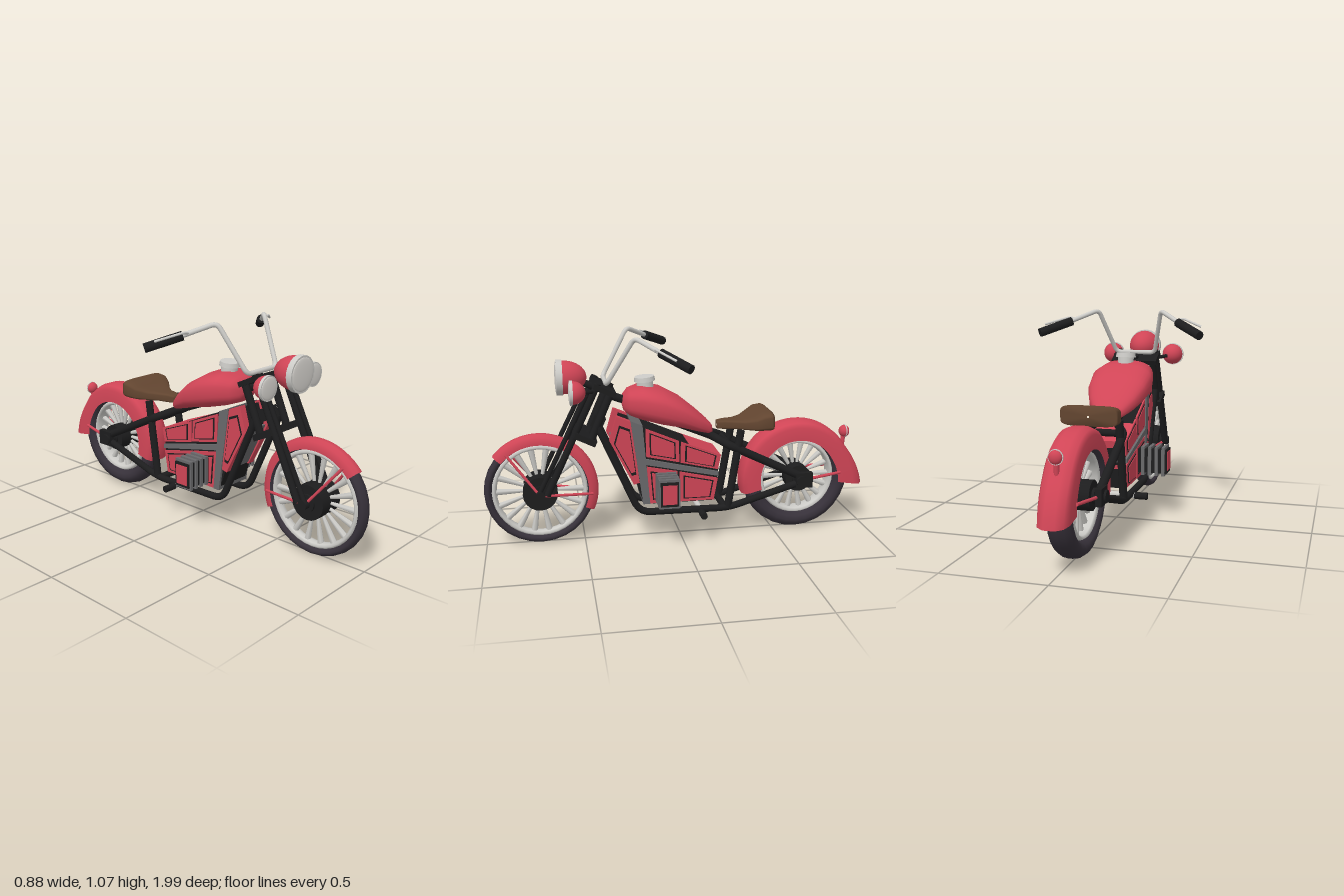
import * as THREE from 'three';

const mat = (name, color, side = THREE.FrontSide) => {
  const m = new THREE.MeshStandardMaterial({ color, side });
  m.name = name;
  return m;
};
const V = (x, y, z) => new THREE.Vector3(x, y, z);

export function createModel() {
  const root = new THREE.Group();
  root.name = 'motorcycle';
  const red = mat('red paint', 0xd04556, THREE.DoubleSide);
  const black = mat('black metal', 0x1d1d1e);
  const rubber = mat('tyre rubber', 0x37313a);
  const silver = mat('silver metal', 0xcdccc8);
  const grey = mat('grey metal', 0x69696b);
  const brown = mat('brown leather', 0x624530);
  const lens = mat('lamp glass', 0xd6d3ce);

  const add = (name, geo, material, parent = root) => {
    const m = new THREE.Mesh(geo, material);
    m.name = name;
    parent.add(m);
    return m;
  };
  const box = (name, w, h, d, x, y, z, material, tilt = 0) => {
    const m = add(name, new THREE.BoxGeometry(w, h, d), material);
    m.position.set(x, y, z);
    m.rotation.x = tilt;
    return m;
  };
  // Straight round bar between two points
  const rod = (name, a, b, r, material, parent = root, r2 = r, sides = 10) => {
    const m = add(name, new THREE.CylinderGeometry(r2, r, a.distanceTo(b), sides), material, parent);
    m.position.copy(a).lerp(b, 0.5);
    m.quaternion.setFromUnitVectors(V(0, 1, 0), b.clone().sub(a).normalize());
    return m;
  };
  // Bent tube with softly rounded corners
  const bentTube = (name, pts, r, material, bend = 0.04) => {
    const path = new THREE.CurvePath();
    let last = pts[0];
    for (let i = 1; i < pts.length - 1; i++) {
      const p = pts[i];
      const a = p.clone().add(pts[i - 1].clone().sub(p).setLength(bend));
      const b = p.clone().add(pts[i + 1].clone().sub(p).setLength(bend));
      path.add(new THREE.LineCurve3(last, a));
      path.add(new THREE.QuadraticBezierCurve3(a, p, b));
      last = b;
    }
    path.add(new THREE.LineCurve3(last, pts[pts.length - 1]));
    return add(name, new THREE.TubeGeometry(path, 56, r, 10), material);
  };
  // Flat plate drawn in (z, y) and centred on x
  const plate = (name, pts, x, thick, material) => {
    const s = new THREE.Shape(pts.map(p => new THREE.Vector2(p[0], p[1])));
    const g = new THREE.ExtrudeGeometry(s, { depth: thick, bevelEnabled: false });
    g.translate(0, 0, -thick / 2).rotateY(-Math.PI / 2);
    const m = add(name, g, material);
    m.position.x = x;
    return m;
  };
  const shrink = (pts, k) => {
    const c = [0, 1].map(i => pts.reduce((s, p) => s + p[i], 0) / pts.length);
    return pts.map(p => p.map((v, i) => c[i] + (v - c[i]) * k));
  };
  // Rounded body lofted front to back through sections of z, half width, top, bottom
  const loft = (name, sections, power, material, N = 32) => {
    const pos = [], idx = [];
    const bulge = v => Math.sign(v) * Math.abs(v) ** power;
    sections.forEach(([z, w, t, b], i) => {
      for (let j = 0; j < N; j++) {
        const a = j / N * Math.PI * 2;
        pos.push(bulge(Math.cos(a)) * w, (t + b) / 2 + bulge(Math.sin(a)) * (t - b) / 2, z);
        if (i) {
          const k = (j + 1) % N, p = (i - 1) * N, q = i * N;
          idx.push(p + j, q + j, p + k, p + k, q + j, q + k);
        }
      }
    });
    const g = new THREE.BufferGeometry();
    g.setAttribute('position', new THREE.Float32BufferAttribute(pos, 3));
    g.setIndex(idx);
    g.computeVertexNormals();
    return add(name, g, material);
  };
  // Ring revolved about the axle, from (radius, x) points
  const ring = (pts, segs, start = 0, length = Math.PI * 2) =>
    new THREE.LatheGeometry(pts.map(p => new THREE.Vector2(p[0], p[1])), segs, start, length).rotateZ(Math.PI / 2);
  const rad = THREE.MathUtils.degToRad;

  // Wheels
  const wheel = (name, z, y, R, rimR, hw, hubR, hubHw, spokes) => {
    const g = new THREE.Group();
    g.name = name;
    g.position.set(0, y, z);
    root.add(g);
    const loop = (c, a, b, n) => Array.from({ length: n + 1 }, (_, i) => {
      const t = i / n * Math.PI * 2;
      return [c + a * Math.cos(t), b * Math.sin(t)];
    });
    add('tyre', ring(loop((R + rimR) / 2, (R - rimR) / 2, hw, 12), 28), rubber, g);
    add('rim', ring(loop(rimR - 0.008, 0.014, hw * 0.8, 8), 36), silver, g);
    rod('hub', V(-hubHw, 0, 0), V(hubHw, 0, 0), hubR, black, g, hubR, 20);
    rod('hubCap', V(-hubHw - 0.012, 0, 0), V(hubHw + 0.012, 0, 0), hubR * 0.5, black, g, hubR * 0.5, 16);
    for (let i = 0; i < spokes; i++) {
      const a = i / spokes * Math.PI * 2, d = V(0, Math.sin(a), Math.cos(a));
      rod('spoke', d.clone().multiplyScalar(hubR * 0.8), d.clone().multiplyScalar(rimR - 0.012), 0.008, silver, g, 0.017, 6);
    }
  };
  wheel('frontWheel', 0.72, 0.288, 0.28, 0.238, 0.035, 0.087, 0.07, 18);
  wheel('rearWheel', -0.625, 0.295, 0.287, 0.2, 0.06, 0.07, 0.075, 18);

  // Fenders
  const archProfile = (rIn, rOut, hw) => [[rIn, -hw], [rOut - 0.035, -hw], [rOut - 0.012, -hw * 0.8],
    [rOut, -hw * 0.35], [rOut, hw * 0.35], [rOut - 0.012, hw * 0.8], [rOut - 0.035, hw], [rIn, hw]];
  add('frontFender', ring(archProfile(0.245, 0.296, 0.038), 28, rad(40), rad(163)), red).position.set(0, 0.288, 0.72);
  const rearFender = ring(archProfile(0.205, 0.307, 0.073), 32, rad(-15), rad(204));
  const fp = rearFender.attributes.position;
  for (let i = 0; i < fp.count; i++) {
    const y = fp.getY(i), z = fp.getZ(i), r = Math.hypot(y, z);
    let a = Math.atan2(y, z);
    if (a < -Math.PI / 2) a += Math.PI * 2;
    const t = THREE.MathUtils.clamp((a - rad(148)) / rad(41), 0, 1);
    const k = 1 + 0.2 * t ** 1.4 * Math.max(0.5, (r - 0.2) / 0.1);
    fp.setXYZ(i, fp.getX(i), y * k, z * k);
  }
  rearFender.computeVertexNormals();
  add('rearFender', rearFender, red).position.set(0, 0.295, -0.625);

  // Lamps: domed bowl, bright ring and glass
  const lamp = (name, x, y, z, r, bowlDepth, ringDepth, glassDepth, glassMat = lens) => {
    const g = new THREE.Group();
    g.name = name;
    g.position.set(x, y, z);
    root.add(g);
    const dome = (part, size, length, turn, material) => add(part,
      new THREE.SphereGeometry(size, 24, 10, 0, Math.PI * 2, 0, Math.PI / 2).rotateX(turn).scale(1, 1, length / size), material, g);
    dome('lampBowl', r * 0.94, bowlDepth, -Math.PI / 2, red);
    rod('lampRing', V(0, 0, 0), V(0, 0, ringDepth), r, silver, g, r, 28);
    dome('lampGlass', r * 0.9, glassDepth, Math.PI / 2, glassMat).position.z = ringDepth;
    return g;
  };
  lamp('headlight', 0, 0.866, 0.588, 0.089, 0.12, 0.03, 0.007);
  rod('headlightMount', V(0, 0.80, 0.40), V(0, 0.85, 0.52), 0.018, black);
  lamp('tailLight', 0, 0.522, -0.895, 0.034, 0.03, 0.005, 0.02, red).rotation.y = Math.PI;
  rod('tailLightStalk', V(0, 0.44, -0.885), V(0, 0.51, -0.89), 0.012, red);

  for (const s of [-1, 1]) {
    lamp('spotLight', s * 0.173, 0.824, 0.547, 0.06, 0.062, 0.014, 0.006);
    rod('spotLightArm', V(s * 0.1, 0.81, 0.44), V(s * 0.165, 0.82, 0.51), 0.01, black);

    // Front fork
    rod('forkTube', V(s * 0.1, 0.85, 0.42), V(s * 0.1, 0.29, 0.685), 0.017, black);
    rod('forkRod', V(s * 0.1, 0.79, 0.48), V(s * 0.1, 0.30, 0.725), 0.012, black);
    rod('forkSleeve', V(s * 0.1, 0.81, 0.355), V(s * 0.1, 0.555, 0.465), 0.019, black);
    for (const [y, z] of [[0.49, 0.88], [0.265, 0.455]])
      rod('frontFenderStrut', V(s * 0.092, 0.285, 0.72), V(s * 0.039, y, z), 0.007, red);

    // Handlebar, grip and lever
    bentTube('handlebar', [V(0, 0.845, 0.38), V(s * 0.108, 0.845, 0.38), V(s * 0.172, 1.078, 0.247),
      V(s * 0.30, 1.018, 0.13)], 0.012, silver, 0.03);
    rod('grip', V(s * 0.287, 1.022, 0.138), V(s * 0.422, 0.966, 0.02), 0.023, black, root, 0.023, 12);
    bentTube('lever', [V(s * 0.265, 1.032, 0.16), V(s * 0.31, 1.042, 0.165), V(s * 0.42, 1.006, 0.085)], 0.006, silver, 0.015);

    // Frame tubes
    bentTube('cradleTube', [V(s * 0.1, 0.64, 0.43), V(s * 0.1, 0.171, 0.225), V(s * 0.105, 0.169, -0.24),
      V(s * 0.11, 0.285, -0.62)], 0.018, black, 0.06);
    bentTube('backboneTube', [V(s * 0.035, 0.66, 0.12), V(s * 0.045, 0.545, -0.16), V(s * 0.105, 0.505, -0.24),
      V(s * 0.105, 0.32, -0.62)], 0.021, black, 0.03);
    rod('seatPost', V(s * 0.1, 0.58, -0.30), V(s * 0.105, 0.17, -0.235), 0.02, black);
    box('axlePlate', 0.03, 0.08, 0.09, s * 0.115, 0.30, -0.64, black);
    rod('rearFenderStrut', V(s * 0.11, 0.30, -0.66), V(s * 0.074, 0.315, -0.855), 0.008, red);

    // Foot peg
    rod('footPeg', V(s * 0.125, 0.16, -0.095), V(s * 0.19, 0.16, -0.095), 0.018, black);

    // Finned cylinder
    box('cylinderCore', 0.155, 0.125, 0.09, s * 0.178, 0.31, 0.092, black);
    for (let i = 0; i < 4; i++)
      box('coolingFin', 0.017, 0.15, 0.105, s * (0.13 + i * 0.0357), 0.31, 0.092, grey);
    box('cylinderCover', 0.003, 0.10, 0.072, s * 0.2565, 0.31, 0.092, red);

    // Red cheek at the front of the engine, with a fine dark groove
    const cheek = [[0.333, 0.68], [0.262, 0.65], [0.222, 0.33], [0.252, 0.322], [0.37, 0.555]];
    plate('engineCheek', cheek, s * 0.084, 0.038, red);
    plate('engineCheekGroove', shrink(cheek, 0.74), s * 0.103, 0.004, black);
    plate('engineCheekCentre', shrink(cheek, 0.66), s * 0.1045, 0.005, red);
  }
  rod('frontAxle', V(-0.115, 0.288, 0.72), V(0.115, 0.288, 0.72), 0.025, black);
  rod('rearAxle', V(-0.14, 0.295, -0.625), V(0.14, 0.295, -0.625), 0.03, black);
  rod('footPegBar', V(-0.13, 0.16, -0.095), V(0.13, 0.16, -0.095), 0.015, silver);
  rod('steeringHead', V(0, 0.83, 0.355), V(0, 0.57, 0.465), 0.022, black);
  rod('backboneNeck', V(0, 0.775, 0.375), V(0, 0.71, 0.2), 0.021, black);
  box('upperClamp', 0.25, 0.025, 0.115, 0, 0.815, 0.39, black, -0.45);
  box('lowerClamp', 0.26, 0.03, 0.115, 0, 0.575, 0.49, black, -0.45);
  box('neckBrace', 0.09, 0.06, 0.06, 0, 0.64, 0.42, black, -0.45);
  rod('seatCrossbar', V(-0.105, 0.505, -0.24), V(0.105, 0.505, -0.24), 0.018, black);
  rod('lowerCrossbar', V(-0.105, 0.17, -0.22), V(0.105, 0.17, -0.22), 0.018, black);

  // Engine block with raised side panels
  plate('engineBlock', [[0.31, 0.66], [0.17, 0.605], [-0.193, 0.45], [-0.168, 0.212], [0.2, 0.212], [0.24, 0.33], [0.345, 0.56]],
    0, 0.19, black);
  plate('engineFrontCover', [[0.358, 0.555], [0.25, 0.33], [0.2, 0.33], [0.28, 0.555]], 0, 0.13, grey);
  const strips = [[[0.265, 0.655], [0.205, 0.63], [0.17, 0.215], [0.205, 0.215]],
    [[0.195, 0.455], [-0.185, 0.368], [-0.183, 0.345], [0.195, 0.425]]];
  const panels = [[[0.19, 0.612], [0.022, 0.54], [0.018, 0.428], [0.187, 0.465]],
    [[0.01, 0.535], [-0.197, 0.455], [-0.182, 0.38], [0.012, 0.425]],
    [[0.185, 0.412], [0.028, 0.38], [0.028, 0.216], [0.17, 0.216]],
    [[0.018, 0.377], [-0.182, 0.332], [-0.162, 0.217], [0.018, 0.217]]];
  strips.forEach(p => plate('engineStrip', p, 0, 0.215, grey));
  panels.forEach(p => {
    plate('enginePanel', p, 0, 0.206, red);
    plate('enginePanelGroove', shrink(p, 0.78), 0, 0.212, black);
    plate('enginePanelCentre', shrink(p, 0.7), 0, 0.218, red);
  });

  // Fuel tank and cap
  loft('fuelTank', [[0.297, 0.005, 0.735, 0.725], [0.288, 0.06, 0.77, 0.69], [0.262, 0.105, 0.797, 0.668], [0.2, 0.144, 0.817, 0.645],
    [0.1, 0.163, 0.80, 0.618], [0, 0.152, 0.745, 0.597], [-0.08, 0.12, 0.68, 0.573], [-0.14, 0.08, 0.625, 0.555],
    [-0.162, 0.05, 0.60, 0.552], [-0.17, 0.005, 0.578, 0.57]], 0.74, red);
  rod('fuelCapNeck', V(0, 0.80, 0.175), V(0, 0.835, 0.178), 0.042, silver, root, 0.042, 20);
  rod('fuelCap', V(0, 0.835, 0.178), V(0, 0.858, 0.18), 0.053, silver, root, 0.05, 20);

  // Saddle, narrow at the nose and raised at the back
  loft('seat', [[-0.193, 0.003, 0.595, 0.585], [-0.195, 0.028, 0.612, 0.572], [-0.23, 0.037, 0.617, 0.57], [-0.28, 0.052, 0.617, 0.57],
    [-0.33, 0.085, 0.622, 0.57], [-0.38, 0.128, 0.642, 0.571], [-0.415, 0.142, 0.664, 0.572], [-0.455, 0.141, 0.67, 0.572],
    [-0.467, 0.136, 0.665, 0.575], [-0.47, 0.005, 0.625, 0.615]], 0.42, brown);

  return root;
}
